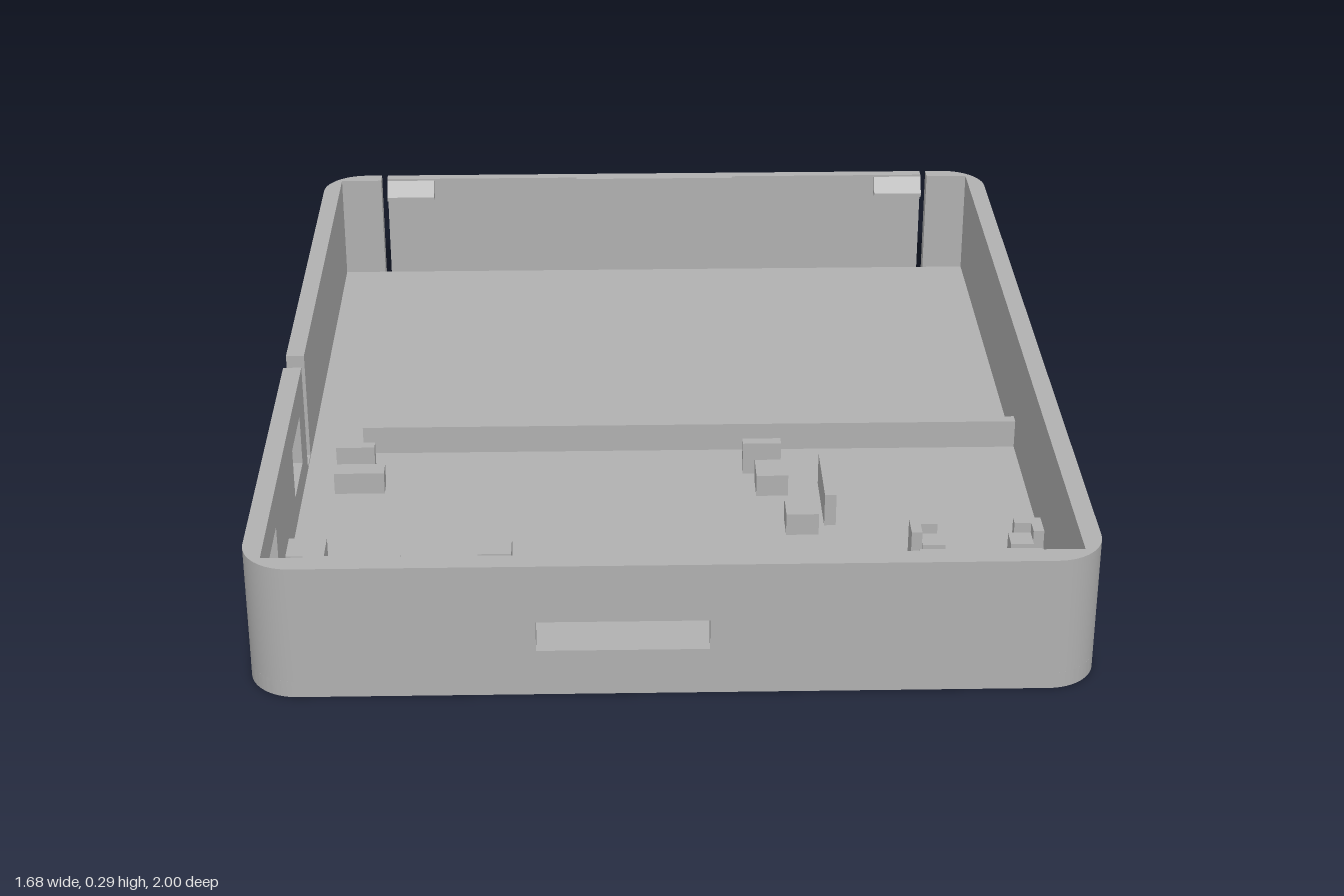
import * as THREE from 'three';
import { toCreasedNormals } from 'three/addons/utils/BufferGeometryUtils.js';

const H = 0.29, FLOOR = 0.035;          // wall top, floor top
const X = 0.84, Z = 1, R = 0.1;         // outer half sizes, corner radius
const IX = 0.8, BACK = -0.965, FRONT = 0.955; // inner wall faces

export function createModel() {
  const model = new THREE.Group();
  model.name = 'enclosureTray';
  const grey = new THREE.MeshStandardMaterial({ color: 0xb0b0b0 });
  grey.name = 'grey plastic';

  const add = (name, geometry) => {
    const mesh = new THREE.Mesh(geometry, grey);
    mesh.name = name;
    model.add(mesh);
    return mesh;
  };
  const box = (name, x0, x1, y0, y1, z0, z1) =>
    add(name, new THREE.BoxGeometry(x1 - x0, y1 - y0, z1 - z0)
      .translate((x0 + x1) / 2, (y0 + y1) / 2, (z0 + z1) / 2));
  const polygon = (points) => new THREE.Shape(points.map(([x, y]) => new THREE.Vector2(x, y)));
  const rectHole = (shape, x0, x1, y0, y1) =>
    shape.holes.push(polygon([[x0, y0], [x0, y1], [x1, y1], [x1, y0]]));
  const extrude = (shape, depth) =>
    new THREE.ExtrudeGeometry(shape, { depth, bevelEnabled: false, curveSegments: 16 });
  // Extrudes a plan outline, given as (x, -z), from y0 up to y1
  const plan = (name, shape, y0, y1) =>
    add(name, toCreasedNormals(extrude(shape, y1 - y0).rotateX(-Math.PI / 2).translate(0, y0, 0), 0.6));

  // Floor: rounded corners, back edge cut in for the flexible panel
  const floor = new THREE.Shape();
  floor.moveTo(-X + R, -Z);
  floor.lineTo(X - R, -Z);
  floor.absarc(X - R, -Z + R, R, -Math.PI / 2, 0);
  floor.lineTo(X, Z - R);
  floor.absarc(X - R, Z - R, R, 0, Math.PI / 2);
  floor.lineTo(0.7, Z);
  floor.lineTo(0.7, -BACK);
  floor.lineTo(-0.7, -BACK);
  floor.lineTo(-0.7, Z);
  floor.lineTo(-X + R, Z);
  floor.absarc(-X + R, Z - R, R, Math.PI / 2, Math.PI);
  floor.lineTo(-X, -Z + R);
  floor.absarc(-X + R, -Z + R, R, Math.PI, Math.PI * 1.5);
  plan('floor', floor, 0, FLOOR);

  // Corners: round outside, square inside
  for (const sx of [-1, 1]) for (const sz of [-1, 1]) {
    const inner = sz > 0 ? FRONT : -BACK;
    const end = sz > 0 ? X - R : 0.7;
    const pts = [[end, inner], [IX, inner], [IX, Z - R]];
    for (let i = 0; i <= 16; i++) {
      const a = (i / 16) * Math.PI / 2;
      pts.push([X - R + R * Math.cos(a), Z - R + R * Math.sin(a)]);
    }
    if (sz < 0) pts.push([end, Z]);
    plan('cornerWall', polygon(pts.map(([x, z]) => [sx * x, -sz * z])), FLOOR, H);
  }

  // Front wall with card slot
  const front = polygon([[-X + R, FLOOR], [X - R, FLOOR], [X - R, H], [-X + R, H]]);
  rectHole(front, -0.27, 0.07, 0.1, 0.165);
  add('frontWall', extrude(front, Z - FRONT).translate(0, 0, FRONT));

  // Side walls; one has a notch and two port openings
  box('leftWall', IX, X, FLOOR, H, -Z + R, Z - R);
  const side = polygon([[-Z + R, FLOOR], [Z - R, FLOOR], [Z - R, H], [0.12, H],
    [0.12, 0.04], [0.06, 0.04], [0.06, H], [-Z + R, H]]);
  rectHole(side, 0.21, 0.37, 0.1, 0.215);
  rectHole(side, 0.7, 0.89, 0.07, 0.215);
  add('rightWall', extrude(side, X - IX).rotateY(-Math.PI / 2).translate(-IX, 0, 0));

  // Flexible back panel, joined to the floor only in the middle
  plan('backPanel', polygon([[-0.685, Z], [-0.685, 0.975], [-0.2, 0.975], [-0.2, -BACK],
    [0.2, -BACK], [0.2, 0.975], [0.685, 0.975], [0.685, Z]]), 0, H);

  // Wedge catches on the back panel
  for (const x of [-0.685, 0.565]) {
    const wedge = polygon([[0.975, 0.24], [0.947, 0.24], [0.947, 0.25], [0.975, 0.285]]);
    add('backCatch', extrude(wedge, 0.12).rotateY(Math.PI / 2).translate(x, 0, 0));
  }
  // Lips along the front wall
  for (const [x0, x1] of [[-0.72, -0.53], [0.1, 0.29], [0.48, 0.72]])
    box('frontLip', x0, x1, 0.25, 0.28, 0.932, FRONT);

  // Divider across the floor
  box('divider', -0.68, IX, FLOOR, 0.1, 0.02, 0.045);

  // Low rest blocks: x0, x1, z0, z1
  for (const [x0, x1, z0, z1] of [
    [-0.73, -0.62, 0.19, 0.235], [0.2, 0.27, 0.19, 0.265], [0.255, 0.325, 0.365, 0.44],
    [-0.8, -0.72, 0.52, 0.595], [-0.4, -0.33, 0.52, 0.595],
    [-0.62, -0.545, 0.87, 0.932], [0.14, 0.21, 0.87, 0.932],
  ]) box('restBlock', x0, x1, FLOOR, 0.085, z0, z1);

  // Thin upright guides
  for (const [x0, x1, z0, z1] of [
    [-0.73, -0.645, 0.135, 0.16], [0.175, 0.26, 0.135, 0.16],
    [0.34, 0.365, 0.21, 0.4], [0.34, 0.365, 0.775, 0.93],
  ]) box('guide', x0, x1, FLOOR, 0.11, z0, z1);

  // Four corner posts: a square pad inside an L-shaped bracket
  const cx = 0.636, cz = 0.732;
  for (const sx of [-1, 1]) for (const sz of [-1, 1]) {
    const outline = (pts) => polygon(pts.map(([x, z]) => [cx + sx * x, -(cz + sz * z)]));
    plan('postPad', outline([[0.068, 0.068], [0.115, 0.068], [0.115, 0.115], [0.068, 0.115]]), FLOOR, 0.135);
    plan('postBracket', outline([[0.08, 0.115], [0.115, 0.115], [0.115, 0.08],
      [0.137, 0.08], [0.137, 0.137], [0.08, 0.137]]), FLOOR, 0.158);
  }
  return model;
}
